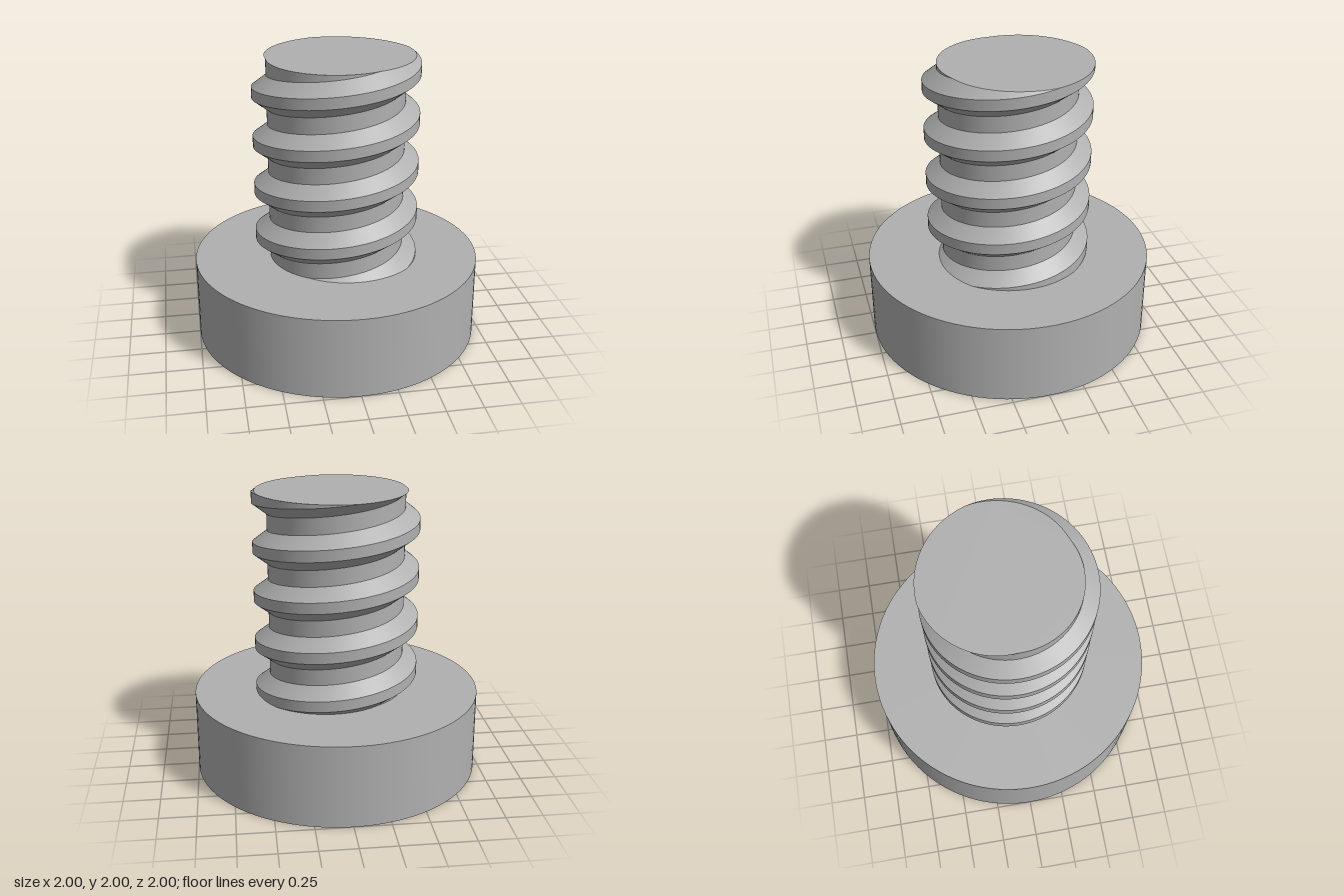
import * as THREE from 'three';

const HEAD_R = 1, HEAD_H = 0.572, TOP = 2;
const ROOT_R = 0.47, CREST_R = 0.57, PITCH = 0.343;
const CREST_Y = 1.945; // height of a thread crest on the +x side
const SEG = 96;
const SLOT = { length: 1.425, width: 0.225, depth: 0.25 };

// thread profile over one pitch: [height from crest centre, radius]
const PROFILE = [
  [-0.115, ROOT_R], [-0.038, CREST_R], [0.038, CREST_R], [0.115, ROOT_R], [PITCH - 0.115, ROOT_R],
];

const crestAt = (a) => CREST_Y + (PITCH * a) / (Math.PI * 2);

// radius of the threaded shaft at angle a and height y
function radiusAt(a, y) {
  let h = (y - crestAt(a)) / PITCH;
  h = Math.abs(h - Math.round(h)) * PITCH;
  return THREE.MathUtils.mapLinear(THREE.MathUtils.clamp(h, 0.038, 0.115), 0.038, 0.115, CREST_R, ROOT_R);
}

// one helical band between two profile points, trimmed to the shaft's height
function threadBand([h0, r0], [h1, r1]) {
  const pos = [], index = [];
  const first = -6 * SEG, last = 2 * SEG;
  let previousOpen = false;
  for (let i = first; i <= last; i++) {
    const a = (i / SEG) * Math.PI * 2;
    const y0 = crestAt(a) + h0, y1 = crestAt(a) + h1;
    const lo = THREE.MathUtils.clamp(y0, HEAD_H, TOP);
    const hi = THREE.MathUtils.clamp(y1, HEAD_H, TOP);
    for (const y of [lo, hi]) {
      const r = THREE.MathUtils.mapLinear(y, y0, y1, r0, r1);
      const rr = THREE.MathUtils.clamp(r, ROOT_R, CREST_R);
      pos.push(rr * Math.cos(a), y, -rr * Math.sin(a));
    }
    const open = hi - lo > 1e-6;
    const n = (i - first) * 2;
    if (i > first) {
      if (open) index.push(n - 2, n, n + 1);
      if (previousOpen) index.push(n - 2, n + 1, n - 1);
    }
    previousOpen = open;
  }
  const g = new THREE.BufferGeometry();
  g.setAttribute('position', new THREE.Float32BufferAttribute(pos, 3));
  g.setIndex(index);
  g.computeVertexNormals();
  return g;
}

export function createModel() {
  const model = new THREE.Group();
  model.name = 'slottedScrew';
  const steel = new THREE.MeshStandardMaterial({ color: 0xb0b0b0 });
  steel.name = 'steel grey';

  const add = (parent, name, geometry, y = 0) => {
    const mesh = new THREE.Mesh(geometry, steel);
    mesh.name = name;
    mesh.position.y = y;
    parent.add(mesh);
  };

  // round head, turned slightly so the slot sits at its angle
  const head = new THREE.Group();
  head.name = 'head';
  head.rotation.y = -0.094;
  model.add(head);
  add(head, 'headSide', new THREE.CylinderGeometry(HEAD_R, HEAD_R, HEAD_H, SEG, 1, true), HEAD_H / 2);
  add(head, 'headShoulder', new THREE.CircleGeometry(HEAD_R, SEG).rotateX(-Math.PI / 2), HEAD_H);

  // underside with the slot opening
  const face = new THREE.Shape().absarc(0, 0, HEAD_R, 0, Math.PI * 2);
  const l = SLOT.length / 2, w = SLOT.width / 2;
  face.holes.push(new THREE.Path([[-l, -w], [-l, w], [l, w], [l, -w]].map((p) => new THREE.Vector2(...p))));
  add(head, 'headFace', new THREE.ShapeGeometry(face, SEG).rotateX(Math.PI / 2));

  // slot: a box turned inside out, without its lower face
  const slot = new THREE.BoxGeometry(SLOT.length, SLOT.depth, SLOT.width).scale(-1, 1, 1);
  slot.setIndex([...slot.index.array].filter((_, i) => i < 18 || i >= 24));
  slot.clearGroups();
  slot.computeVertexNormals();
  add(head, 'driverSlot', slot, SLOT.depth / 2);

  // threaded shaft
  const shaft = new THREE.Group();
  shaft.name = 'shaft';
  model.add(shaft);
  ['threadLowerFlank', 'threadCrest', 'threadUpperFlank', 'threadRoot'].forEach((name, i) =>
    add(shaft, name, threadBand(PROFILE[i], PROFILE[i + 1])));

  // flat end, following the thread where it is cut off
  const rim = [];
  for (let i = 0; i < SEG; i++) {
    const a = (i / SEG) * Math.PI * 2, r = radiusAt(a, TOP);
    rim.push(new THREE.Vector2(r * Math.cos(a), r * Math.sin(a)));
  }
  add(shaft, 'shaftEnd', new THREE.ShapeGeometry(new THREE.Shape(rim)).rotateX(-Math.PI / 2), TOP);

  return model;
}
